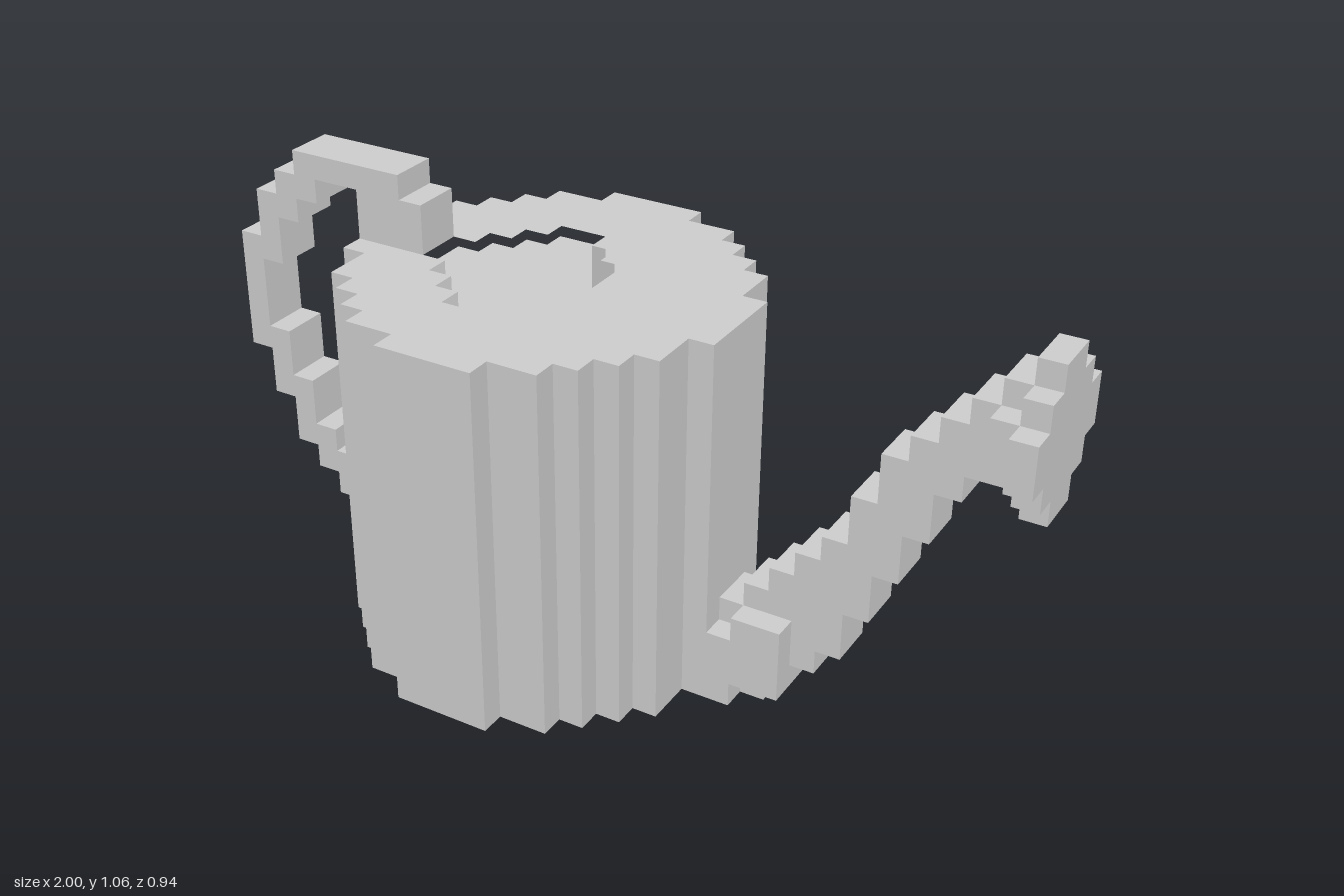
import * as THREE from 'three';

// Everything is laid out in whole blocks; 34 blocks span the 2 unit length.
const BLOCK = 2 / 34;
const material = new THREE.MeshStandardMaterial({ color: 0xcccccc, flatShading: true });

// Stepped outline from column spans [start, end, low, high].
function outline(spans) {
  const raw = [];
  for (const [a, b, , high] of spans) raw.push([a, high], [b, high]);
  for (const [a, b, low] of [...spans].reverse()) raw.push([b, low], [a, low]);
  const points = raw.filter((p, i) => {
    const q = raw[(i + raw.length - 1) % raw.length];
    return p[0] !== q[0] || p[1] !== q[1];
  });
  return points.map(([x, y]) => new THREE.Vector2(x, y));
}

// Column half-widths turned into spans symmetric about zero.
const symmetric = (start, halves) => halves.map((h, i) => [start + i, start + i + 1, -h, h]);

function extrude(shape, depth) {
  return new THREE.ExtrudeGeometry(shape, { depth, bevelEnabled: false });
}

function addPart(group, name, geometry) {
  geometry.scale(BLOCK, BLOCK, BLOCK);
  const mesh = new THREE.Mesh(geometry, material);
  mesh.name = name;
  group.add(mesh);
}

// Side profile (x, y) made into a slab reaching `half` blocks either way in z.
function addSlab(group, name, spans, half) {
  const geometry = extrude(new THREE.Shape(outline(spans)), half * 2);
  addPart(group, name, geometry.translate(-17, 0, -half));
}

// Plan (x, z) raised from y0 to y1.
function addStorey(group, name, shape, y0, y1) {
  const geometry = extrude(shape, y1 - y0).rotateX(-Math.PI / 2);
  addPart(group, name, geometry.translate(-17, y0, 0));
}

// Face profile (z, y) made into a disc one block thick, starting at x0.
function addDisc(group, name, spans, x0) {
  const geometry = extrude(new THREE.Shape(outline(spans)), 1).rotateY(Math.PI / 2);
  addPart(group, name, geometry.translate(x0 - 17, 0, 0));
}

export function createModel() {
  const group = new THREE.Group();
  group.name = 'wateringCan';

  // Round stepped body with a filling well sunk into the top
  const quarter = [2, 4, 5, 6, 7, 7, 8, 8];
  const plan = outline(symmetric(6, [...quarter, ...[...quarter].reverse()]));
  addStorey(group, 'body', new THREE.Shape(plan), 0, 13);
  const rim = new THREE.Shape(plan);
  rim.holes.push(new THREE.Path(outline(symmetric(9, [1, 2, 3, 4, 4, 3, 2]))));
  addStorey(group, 'bodyRim', rim, 13, 15);

  // Looped handle
  addSlab(group, 'upperHandle', [
    [0, 1, 9, 14], [1, 2, 13, 16], [2, 3, 15, 17], [3, 4, 16, 18],
    [4, 6, 17, 18], [6, 8, 15, 18], [8, 9, 15, 17],
  ], 1);
  addSlab(group, 'lowerHandle', [
    [1, 2, 7, 10], [2, 3, 5, 8], [3, 4, 4, 6], [4, 5, 3, 5], [5, 6, 2, 5],
  ], 1);

  // Rising spout with a wider root
  addSlab(group, 'spout', [
    [22, 23, 0, 4], [23, 24, 0, 5], [24, 25, 1, 6], [25, 26, 2, 7],
    [26, 27, 3, 8], [27, 28, 5, 10], [28, 29, 7, 12], [29, 30, 9, 13],
    [30, 31, 11, 14], [31, 32, 12, 15],
  ], 1);
  addSlab(group, 'spoutRoot', [[22, 23, 0, 3], [23, 25, 1, 4]], 2);

  // Sprinkler head: small neck disc and larger face disc
  addDisc(group, 'sprinklerNeck', [[-2, -1, 13, 15], [-1, 1, 12, 16], [1, 2, 13, 15]], 32);
  addDisc(group, 'sprinklerFace', [
    [-3, -2, 13, 15], [-2, -1, 12, 16], [-1, 1, 11, 17], [1, 2, 12, 16], [2, 3, 13, 15],
  ], 33);

  return group;
}
